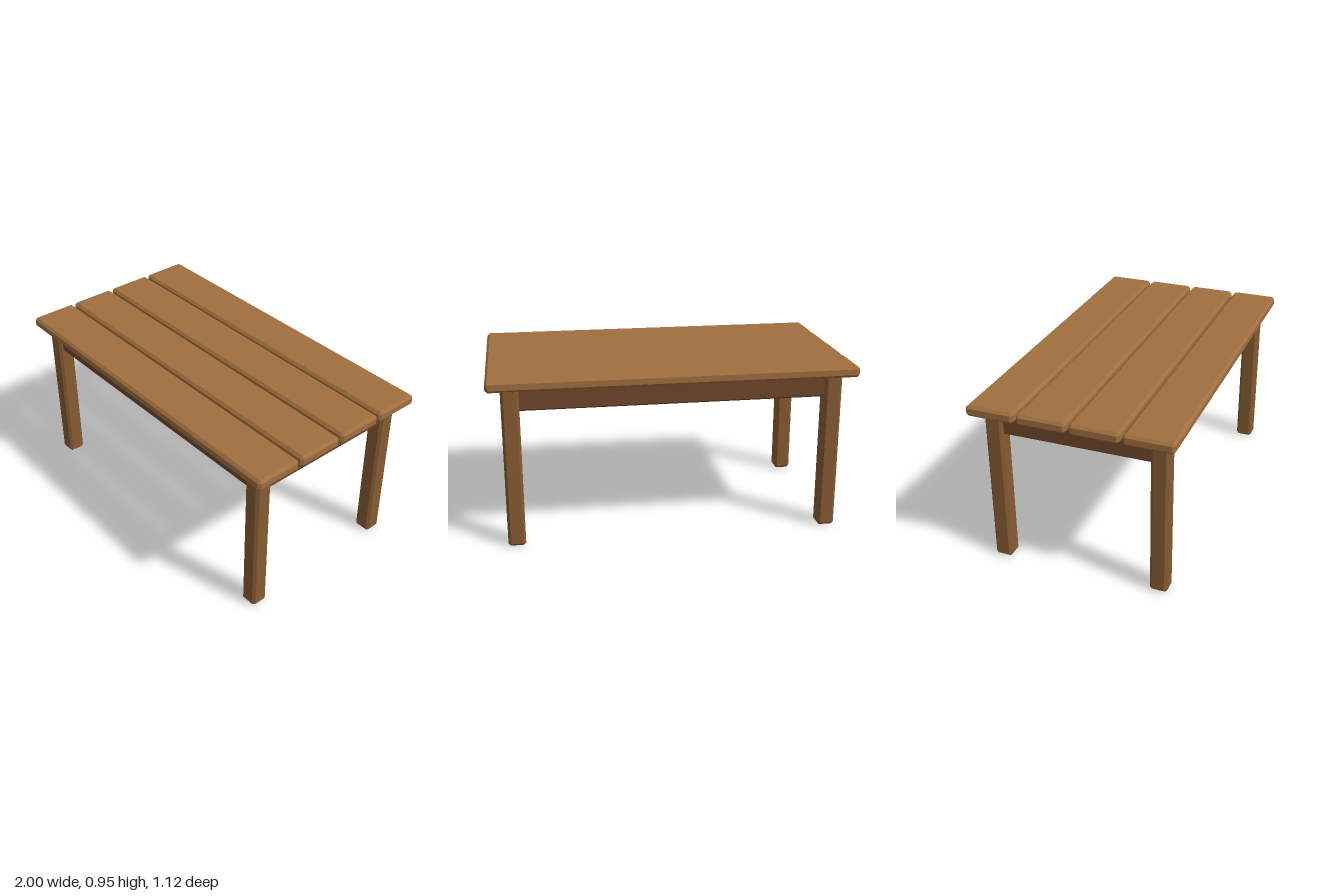
import * as THREE from 'three';
import { ConvexGeometry } from 'three/addons/geometries/ConvexGeometry.js';

// Box with evenly chamfered edges and corners
function chamferBox(w, h, d, c) {
  const pts = [];
  for (const x of [-1, 1]) for (const y of [-1, 1]) for (const z of [-1, 1]) {
    for (let face = 0; face < 3; face++) {
      pts.push(new THREE.Vector3(
        x * (w / 2 - (face === 0 ? 0 : c)),
        y * (h / 2 - (face === 1 ? 0 : c)),
        z * (d / 2 - (face === 2 ? 0 : c))));
    }
  }
  return new ConvexGeometry(pts);
}

const wood = (color) => new THREE.MeshStandardMaterial({ color, flatShading: true });

export function createModel() {
  const table = new THREE.Group();
  table.name = 'table';
  const plankWood = wood(0xa06e3f), legWood = wood(0x865b32), apronWood = wood(0x6f462c);

  const add = (name, geometry, material, x, y, z) => {
    const mesh = new THREE.Mesh(geometry, material);
    mesh.name = name;
    mesh.position.set(x, y, z);
    table.add(mesh);
    return mesh;
  };

  // Four top planks, laid very slightly askew
  const plank = chamferBox(1.995, 0.06, 0.266, 0.014);
  for (let i = 0; i < 4; i++) {
    add('plank' + (i + 1), plank, plankWood, 0, 0.92, (i - 1.5) * 0.281).rotation.y = -0.0045;
  }

  // Legs at the corners
  const legX = 0.875, legZ = 0.449, legHeight = 0.89;
  const leg = chamferBox(0.096, legHeight, 0.096, 0.014);
  for (const [sx, side] of [[1, 'Left'], [-1, 'Right']]) {
    for (const [sz, end] of [[1, 'front'], [-1, 'back']]) {
      add(end + side + 'Leg', leg, legWood, sx * legX, legHeight / 2, sz * legZ);
    }
  }

  // Aprons joining the legs
  const apronY = 0.826, apronH = 0.122, apronT = 0.05;
  const longApron = chamferBox(legX * 2 - 0.05, apronH, apronT, 0.008);
  const endApron = chamferBox(apronT, apronH, legZ * 2 - 0.05, 0.008);
  add('frontApron', longApron, apronWood, 0, apronY, legZ);
  add('backApron', longApron, apronWood, 0, apronY, -legZ);
  add('leftApron', endApron, apronWood, legX, apronY, 0);
  add('rightApron', endApron, apronWood, -legX, apronY, 0);

  return table;
}
